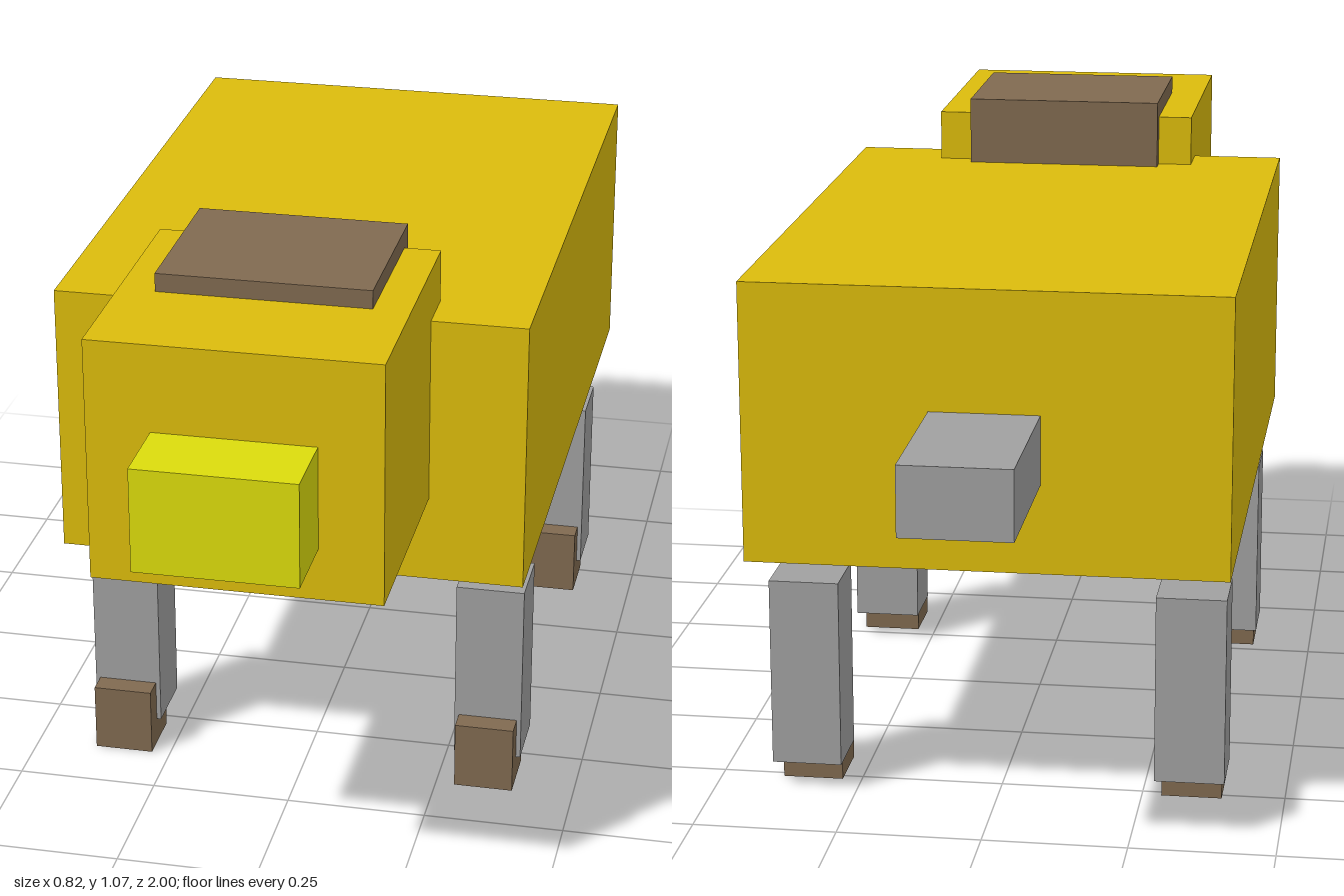
import * as THREE from 'three';

const paint = (color) => new THREE.MeshStandardMaterial({ color, flatShading: true });

export function createModel() {
  const model = new THREE.Group();
  model.name = 'blockAnimal';

  const gold = paint(0xdcbc0c);
  const lemon = paint(0xdcdc0c);
  const brown = paint(0x806a50);
  const grey = paint(0xa0a0a0);

  // Box given by its lower and upper limits on each axis
  function block(name, material, [x0, x1], [y0, y1], [z0, z1], parent = model) {
    const mesh = new THREE.Mesh(new THREE.BoxGeometry(x1 - x0, y1 - y0, z1 - z0), material);
    mesh.position.set((x0 + x1) / 2, (y0 + y1) / 2, (z0 + z1) / 2);
    mesh.name = name;
    parent.add(mesh);
    return mesh;
  }

  // Trunk and tail
  block('body', gold, [-0.412, 0.412], [0.46, 0.946], [-0.692, 0.465]);
  block('tail', grey, [-0.094, 0.094], [0.615, 0.735], [-1, -0.69]);

  // Head with snout and a cap sunk into its top
  block('head', gold, [-0.245, 0.245], [0.614, 1.038], [0.375, 0.863]);
  block('snout', lemon, [-0.137, 0.137], [0.705, 0.886], [0.84, 1]);
  block('cap', brown, [-0.182, 0.182], [0.89, 1.07], [0.345, 0.648]);

  // Four legs, each with a foot set toward the front
  for (const [end, z] of [['front', 0.285], ['back', -0.508]]) {
    for (const [side, x] of [['Left', 0.337], ['Right', -0.337]]) {
      const leg = new THREE.Group();
      leg.name = `${end}${side}Leg`;
      leg.position.set(x, 0, z);
      block('shank', grey, [-0.061, 0.061], [0.048, 0.384], [-0.06, 0.06], leg);
      block('foot', brown, [-0.053, 0.053], [0, 0.124], [-0.007, 0.1], leg);
      model.add(leg);
    }
  }

  return model;
}
